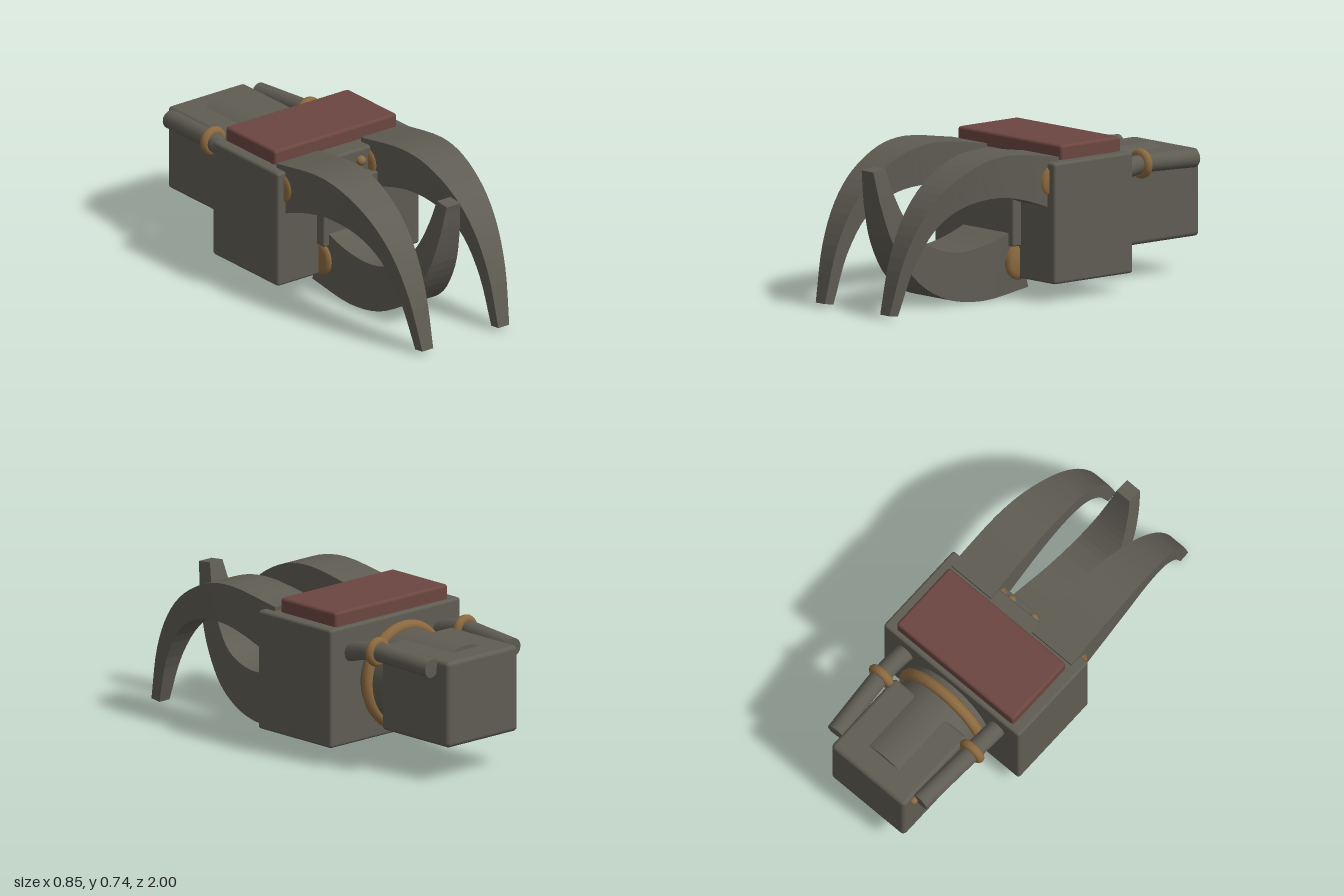
import * as THREE from 'three';
import { RoundedBoxGeometry } from 'three/addons/geometries/RoundedBoxGeometry.js';

const material = (name, color) => {
  const m = new THREE.MeshStandardMaterial({ color });
  m.name = name;
  return m;
};

// Curved claw with a rectangular section.
// Stations: [upper z, upper y, lower z, lower y, x min, x max]
function clawGeometry(stations, segments = 24) {
  const curve = (a, b, c) => new THREE.CatmullRomCurve3(
    stations.map((s) => new THREE.Vector3(s[a], s[b], c === undefined ? 0 : s[c])));
  const upper = curve(0, 1), lower = curve(2, 3), sides = curve(4, 5);
  const rings = [];
  for (let i = 0; i <= segments; i++) {
    const t = i / segments;
    const u = upper.getPoint(t), l = lower.getPoint(t), s = sides.getPoint(t);
    rings.push([[s.x, u.y, u.x], [s.y, u.y, u.x], [s.y, l.y, l.x], [s.x, l.y, l.x]]);
  }
  const pos = [];
  const quad = (a, b, c, d) => pos.push(...a, ...b, ...c, ...a, ...c, ...d);
  for (let i = 0; i < segments; i++) {
    const p = rings[i], q = rings[i + 1];
    for (let k = 0; k < 4; k++) {
      const n = (k + 1) % 4;
      quad(p[k], q[k], q[n], p[n]);
    }
  }
  quad(...rings[0]);
  quad(...[...rings[segments]].reverse());
  const g = new THREE.BufferGeometry();
  g.setAttribute('position', new THREE.Float32BufferAttribute(pos, 3));
  g.computeVertexNormals();
  return g;
}

// Hinge barrel lying along x, with chamfered ends
function hingeGeometry(radius, length) {
  const h = length / 2, c = 0.018;
  const profile = [[0, -h], [radius * 0.75, -h], [radius, -h + c], [radius, h - c], [radius * 0.75, h], [0, h]];
  const g = new THREE.LatheGeometry(profile.map(([x, y]) => new THREE.Vector2(x, y)), 24);
  return g.rotateZ(Math.PI / 2);
}

export function createModel() {
  const model = new THREE.Group();
  const steel = material('dark steel', 0x5f5c53);
  const red = material('dull red', 0x6b4640);
  const brass = material('brass', 0x8c6a40);

  const add = (name, geometry, mat, x = 0, y = 0, z = 0) => {
    const mesh = new THREE.Mesh(geometry, mat);
    mesh.name = name;
    mesh.position.set(x, y, z);
    model.add(mesh);
    return mesh;
  };
  // Rounded box given by its limits
  const box = (name, mat, x, y0, y1, z0, z1, r) => add(name,
    new RoundedBoxGeometry(2 * x, y1 - y0, z1 - z0, 3, r), mat, 0, (y0 + y1) / 2, (z0 + z1) / 2);

  // Housing, top plate and front block
  box('housing', steel, 0.425, 0.09, 0.67, -0.4, 0.1, 0.014);
  box('topPlate', red, 0.367, 0.65, 0.74, -0.375, 0.005, 0.015);
  box('frontBlock', steel, 0.19, 0.248, 0.555, 0, 0.153, 0.008);

  // Wrist shaft, its ring and the rear block
  const shaft = new THREE.CylinderGeometry(0.23, 0.23, 0.5, 40).rotateX(Math.PI / 2);
  add('wristShaft', shaft, steel, 0, 0.385, -0.63);
  add('wristRing', new THREE.TorusGeometry(0.237, 0.029, 8, 48), brass, 0, 0.385, -0.457);
  box('rearBlock', steel, 0.23, 0.175, 0.595, -1, -0.54, 0.022);

  // Upper claws; the right one mirrors the left
  const upperStations = [
    [0.03, 0.69, 0.05, 0.44, 0.128, 0.378],
    [0.34, 0.73, 0.28, 0.515, 0.137, 0.373],
    [0.51, 0.705, 0.44, 0.533, 0.148, 0.362],
    [0.7, 0.61, 0.62, 0.5, 0.163, 0.338],
    [0.83, 0.48, 0.755, 0.415, 0.175, 0.315],
    [0.93, 0.29, 0.865, 0.25, 0.186, 0.29],
    [1.0, 0.022, 0.945, 0.015, 0.195, 0.26],
  ];
  const mirrored = upperStations.map((s) => [...s.slice(0, 4), -s[5], -s[4]]);
  add('leftUpperClaw', clawGeometry(upperStations), steel);
  add('rightUpperClaw', clawGeometry(mirrored), steel);

  // Lower claw
  const lowerStations = [
    [0.1, 0.33, 0.03, 0.04, 0.162],
    [0.28, 0.27, 0.31, 0.003, 0.155],
    [0.46, 0.25, 0.515, 0.03, 0.137],
    [0.62, 0.3, 0.68, 0.125, 0.114],
    [0.73, 0.42, 0.81, 0.31, 0.085],
    [0.795, 0.56, 0.875, 0.51, 0.06],
    [0.83, 0.68, 0.905, 0.672, 0.041],
  ].map((s) => [...s.slice(0, 4), -s[4], s[4]]);
  add('lowerClaw', clawGeometry(lowerStations), steel);
  add('lowerHinge', hingeGeometry(0.09, 0.36), brass, 0, 0.17, 0.085);

  for (const side of [1, -1]) {
    const label = side > 0 ? 'left' : 'right';
    // Upper hinges and front studs
    add(label + 'UpperHinge', hingeGeometry(0.08, 0.274), brass, side * 0.253, 0.58, 0.068);
    add(label + 'Stud', new THREE.SphereGeometry(0.024, 20, 14), brass, side * 0.07, 0.612, 0.106);

    // Bent pipe with capped end and a collar
    const path = new THREE.CatmullRomCurve3([
      [0.285, 0.53, -0.36], [0.29, 0.557, -0.45], [0.288, 0.576, -0.57], [0.277, 0.57, -0.75], [0.265, 0.561, -0.925],
    ].map(([x, y, z]) => new THREE.Vector3(side * x, y, z)));
    add(label + 'Pipe', new THREE.TubeGeometry(path, 20, 0.046, 16), steel);
    const end = path.getPoint(1), direction = path.getTangent(1);
    const cap = add(label + 'PipeCap', new THREE.CircleGeometry(0.046, 16), steel, end.x, end.y, end.z);
    cap.lookAt(end.clone().add(direction));
    add(label + 'Collar', new THREE.TorusGeometry(0.049, 0.023, 10, 28), brass, side * 0.285, 0.576, -0.575);
  }

  // Small rivet by the end of the right pipe
  add('pipeRivet', new THREE.SphereGeometry(0.02, 16, 12), brass, -0.235, 0.55, -0.935);

  return model;
}
